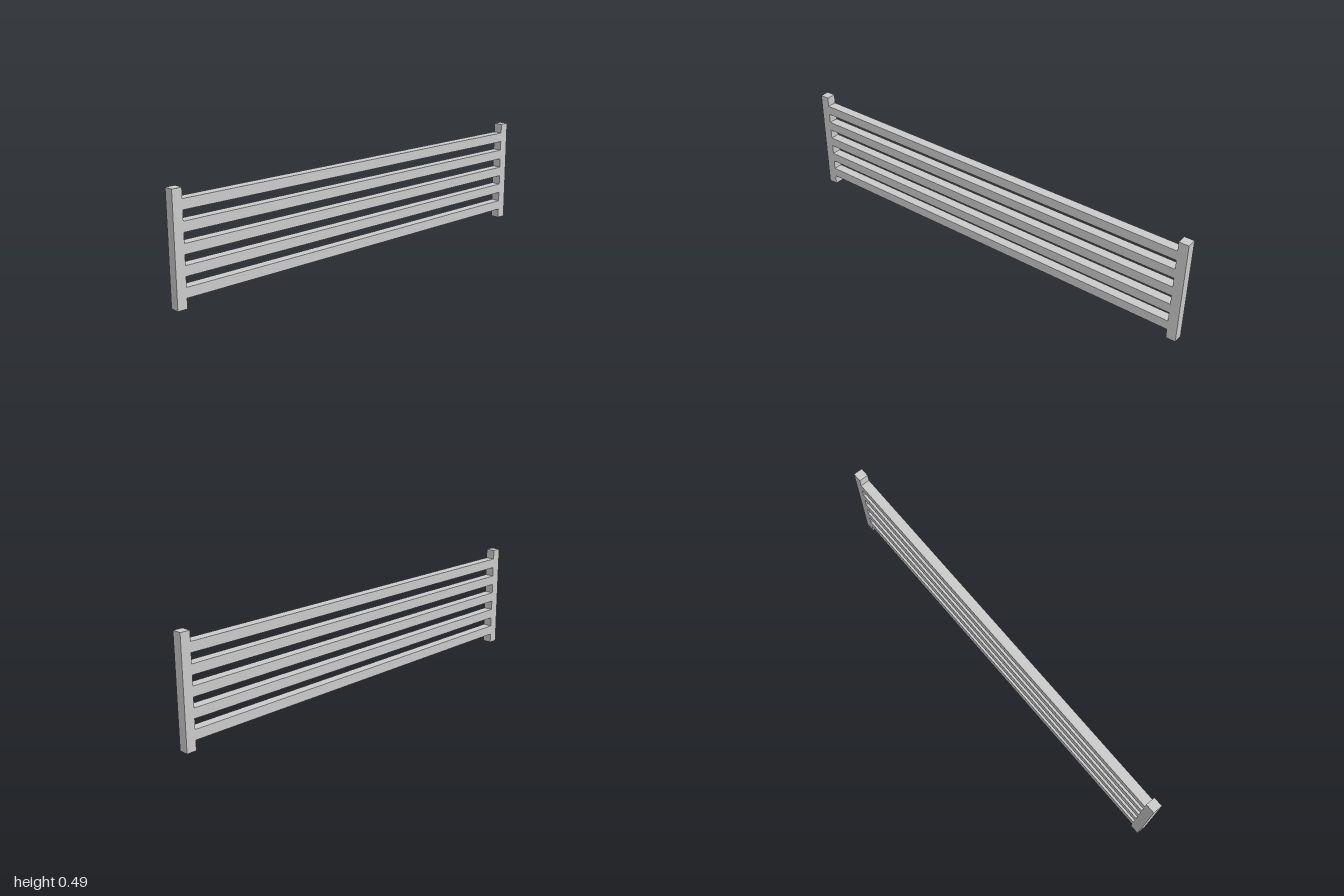
import * as THREE from 'three';

export function createModel() {
  const group = new THREE.Group();
  const material = new THREE.MeshStandardMaterial({ color: 0xcccccc, flatShading: true });

  const railCount = 5;
  const height = 0.49;
  const length = 2;
  // Rails and gaps share one module: gap, rail, gap, ... gap
  const bar = height / (railCount * 2 + 1);

  const addBox = (name, h, d, y, z) => {
    const mesh = new THREE.Mesh(new THREE.BoxGeometry(bar, h, d), material);
    mesh.name = name;
    mesh.position.set(0, y, z);
    group.add(mesh);
  };

  // Upright square posts at both ends
  const postZ = (length - bar) / 2;
  addBox('frontPost', height, bar, height / 2, postZ);
  addBox('backPost', height, bar, height / 2, -postZ);

  // Horizontal rails spanning between the posts
  for (let i = 0; i < railCount; i++) {
    addBox(`rail${i + 1}`, bar, length - 2 * bar, bar * (2 * i + 1.5), 0);
  }

  return group;
}
